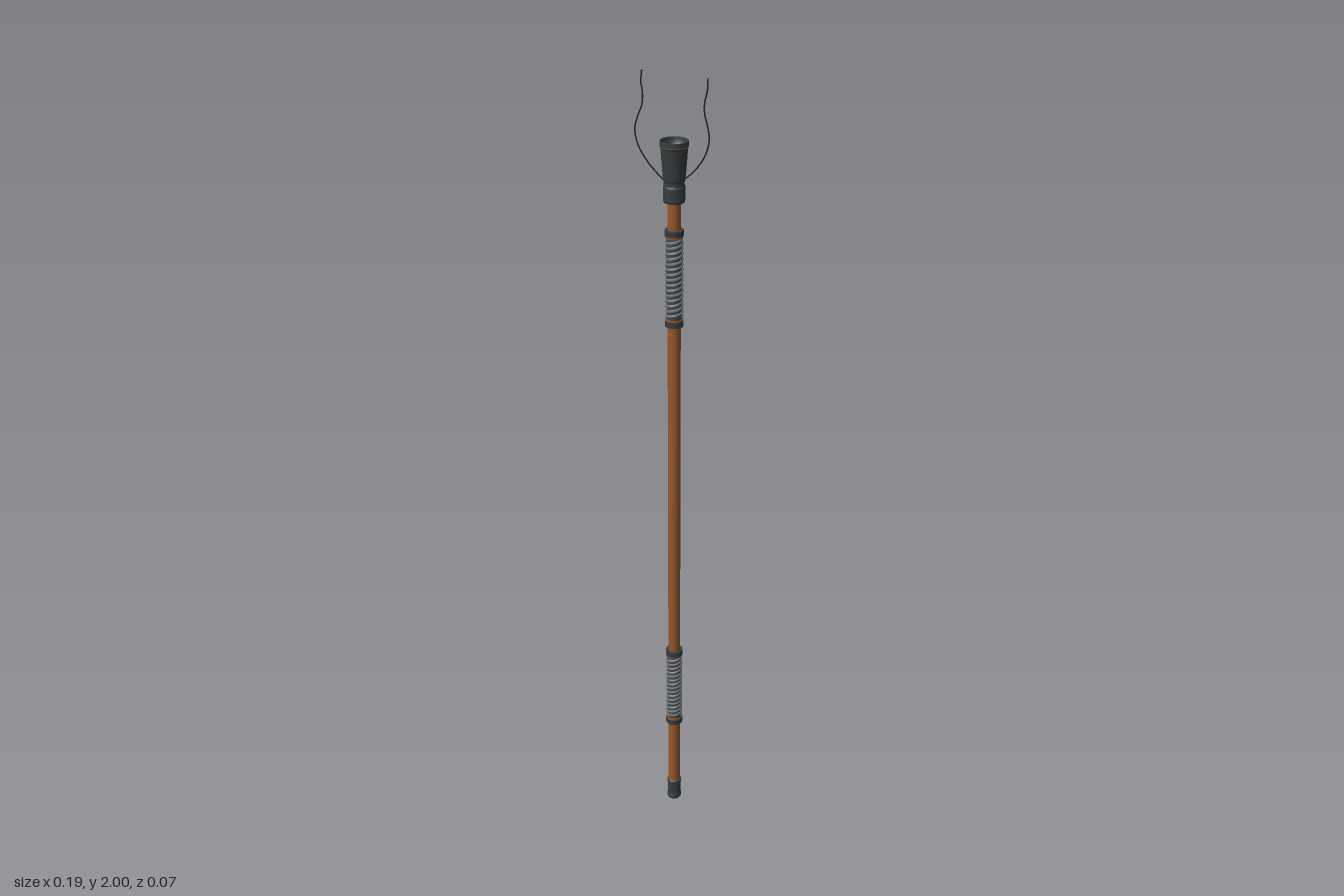
import * as THREE from 'three';

const mat = (name, color, side = THREE.FrontSide) => {
  const m = new THREE.MeshStandardMaterial({ color, side });
  m.name = name;
  return m;
};
const v2 = ([x, y]) => new THREE.Vector2(x, y);

export function createModel() {
  const wood = mat('wood', 0x95572c);
  const iron = mat('dark iron', 0x363d40);
  const cord = mat('grey cord', 0x70757a);
  const core = mat('grip core', 0x42474a);
  const wire = mat('wire', 0x2c2118);

  const staff = new THREE.Group();
  staff.name = 'staff';
  const add = (parent, name, geo, material, y = 0) => {
    const m = new THREE.Mesh(geo, material);
    m.name = name;
    m.position.y = y;
    parent.add(m);
    return m;
  };
  // Upright cylinder between two heights
  const rod = (parent, name, r, y0, y1, material) =>
    add(parent, name, new THREE.CylinderGeometry(r, r, y1 - y0, 24), material, (y0 + y1) / 2);
  // Lathe with hard edges: every profile segment gets its own normals
  const turned = (parent, name, points, material) => {
    const g = new THREE.Group();
    g.name = name;
    for (let i = 0; i < points.length - 1; i++)
      add(g, name + 'Band', new THREE.LatheGeometry([v2(points[i]), v2(points[i + 1])], 28), material);
    parent.add(g);
  };

  rod(staff, 'shaft', 0.0155, 0.03, 1.76, wood);

  // Foot ferrule with a slight lip at each end
  turned(staff, 'footFerrule', [[0, 0], [0.017, 0], [0.019, 0.004], [0.019, 0.012], [0.0178, 0.014],
    [0.0178, 0.05], [0.019, 0.052], [0.019, 0.06], [0.0155, 0.062]], iron);

  // Corded grips: core, end collars, thin wooden rings and helical strands
  for (const [name, y0, y1] of [['lowerGrip', 0.26, 0.495], ['upperGrip', 1.415, 1.65]]) {
    const grip = new THREE.Group();
    grip.name = name;
    staff.add(grip);
    rod(grip, 'gripCore', 0.0185, y0 + 0.01, y1 - 0.01, core);
    rod(grip, 'bottomCollar', 0.022, y0, y0 + 0.014, iron);
    rod(grip, 'topCollar', 0.022, y1 - 0.014, y1, iron);
    rod(grip, 'bottomRing', 0.0205, y0 + 0.014, y0 + 0.019, wood);
    rod(grip, 'topRing', 0.0205, y1 - 0.019, y1 - 0.014, wood);
    const strands = 2, turns = 7.5, steps = 150;
    for (let s = 0; s < strands; s++) {
      const pts = [];
      for (let i = 0; i <= steps; i++) {
        const t = i / steps, a = -t * turns * Math.PI * 2 + s * Math.PI;
        pts.push(new THREE.Vector3(0.0175 * Math.cos(a), y0 + 0.022 + t * (y1 - y0 - 0.044), 0.0175 * Math.sin(a)));
      }
      add(grip, 'cordStrand', new THREE.TubeGeometry(new THREE.CatmullRomCurve3(pts), 220, 0.0042, 6), cord);
    }
  }

  // Flared head cup with a collar
  turned(staff, 'headCup', [[0.0155, 1.715], [0.024, 1.715], [0.0255, 1.72], [0.0255, 1.75], [0.0235, 1.755],
    [0.0235, 1.762], [0.0255, 1.768], [0.031, 1.838], [0.0325, 1.842], [0.0325, 1.855], [0.030, 1.855]], iron);
  // Rounded hollow inside the cup
  const bowl = [];
  for (let i = 0; i <= 8; i++) {
    const a = (i / 8) * Math.PI / 2;
    bowl.push(new THREE.Vector2(0.030 * Math.cos(a), 1.855 - 0.03 * Math.sin(a)));
  }
  add(staff, 'cupHollow', new THREE.LatheGeometry(bowl, 28), iron);
  const rim = add(staff, 'cupRim', new THREE.TorusGeometry(0.0325, 0.0008, 6, 28), wood, 1.843);
  rim.rotation.x = Math.PI / 2;

  // Pair of curved wires rising around the cup
  for (const side of [1, -1]) {
    const path = [[0.012, 1.757, 0.008], [0.03, 1.772, 0.011], [0.062, 1.802, 0.012], [0.086, 1.838, 0.013],
      [0.094, 1.872, 0.012], [0.088, 1.9, 0.009], [0.079, 1.925, 0.006], [0.078, 1.95, 0.004], [0.083, 1.975, 0.002], [0.082, 2, 0]]
      .map(([x, y, z]) => new THREE.Vector3(side * x, y, z));
    add(staff, side > 0 ? 'leftWire' : 'rightWire',
      new THREE.TubeGeometry(new THREE.CatmullRomCurve3(path), 60, 0.0017, 6), wire);
  }
  return staff;
}
